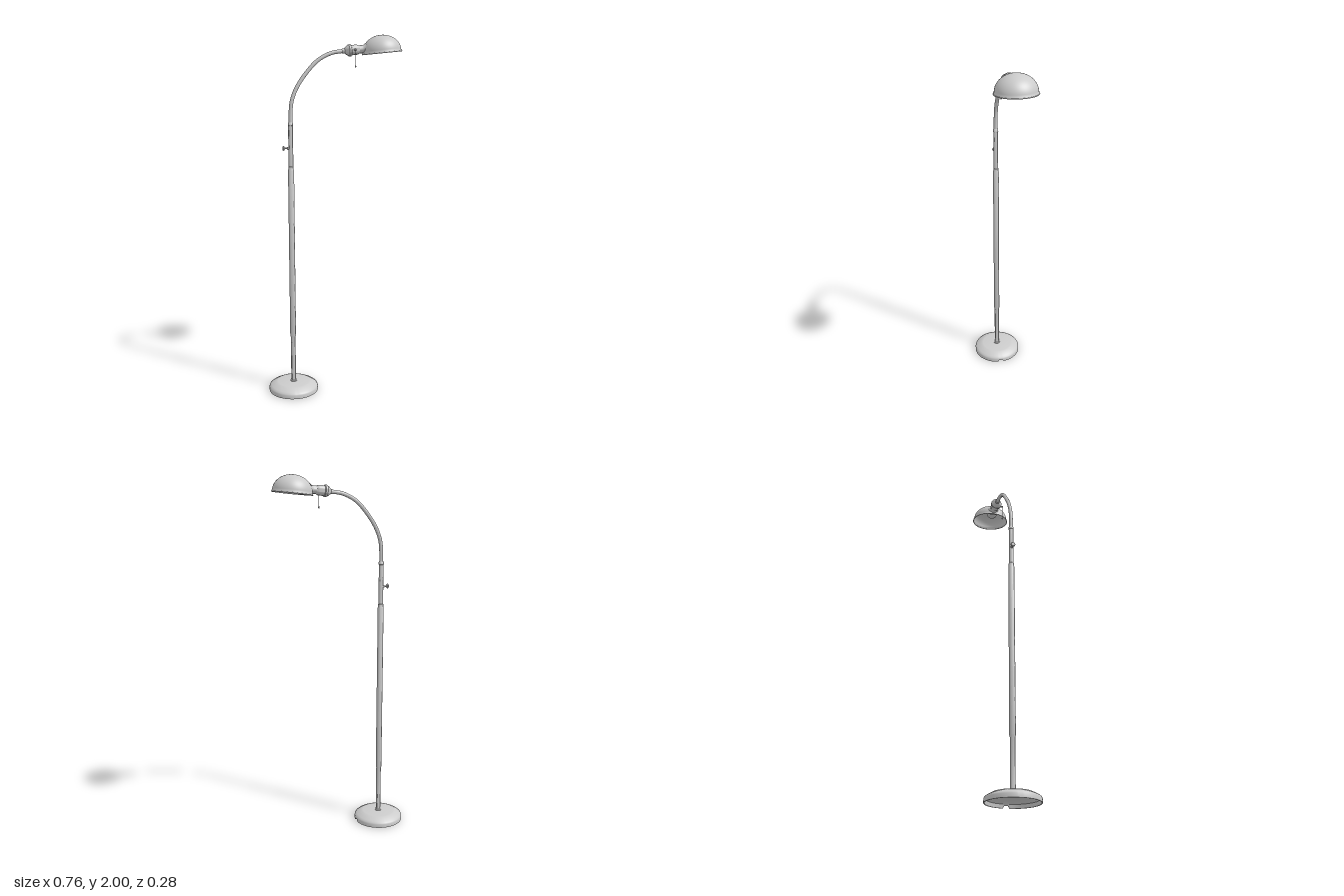
import * as THREE from 'three';
import { toCreasedNormals } from 'three/addons/utils/BufferGeometryUtils.js';

const mat = new THREE.MeshStandardMaterial({ color: 0xcccccc });
const thin = new THREE.MeshStandardMaterial({ color: 0xcccccc, side: THREE.DoubleSide });

function add(parent, name, geo, material = mat) {
  const mesh = new THREE.Mesh(geo, material);
  mesh.name = name;
  parent.add(mesh);
  return mesh;
}

// Turned part from [radius, height] pairs; sharp corners stay creased
function turned(pairs, segments = 40) {
  return new THREE.LatheGeometry(pairs.map(([r, h]) => new THREE.Vector2(r, h)), segments);
}
const crease = (geo) => toCreasedNormals(geo, 0.6);

export function createModel() {
  const lamp = new THREE.Group();
  lamp.name = 'floorLamp';

  // Everything upright shares the pole axis
  const stand = new THREE.Group();
  stand.name = 'stand';
  stand.position.x = -0.24;
  lamp.add(stand);

  // Hollow weighted base with a cord notch in the rim
  const base = turned([
    [0, 0.042], [0.085, 0.042], [0.115, 0.032], [0.132, 0.02], [0.135, 0],
    [0.14, 0], [0.14, 0.02], [0.137, 0.027], [0.128, 0.034], [0.113, 0.042],
    [0.099, 0.049], [0.09, 0.051], [0, 0.051],
  ], 96);
  const p = base.attributes.position;
  for (let i = 0; i < p.count; i++) {
    if (p.getX(i) > 0 && Math.abs(p.getZ(i)) < 0.015 && p.getY(i) < 0.001) p.setY(i, 0.013);
  }
  add(stand, 'base', crease(base));
  add(stand, 'baseNut', new THREE.CylinderGeometry(0.014, 0.014, 0.012, 6)).position.y = 0.037;

  // Pole: lower rod, sleeve, upper rod and top collar
  add(stand, 'pole', crease(turned([
    [0.019, 0.05], [0.019, 0.055], [0.0135, 0.058], [0.0135, 0.32], [0.0165, 0.33],
    [0.0165, 1.28], [0.0145, 1.285], [0.0145, 1.3], [0.013, 1.302], [0.013, 1.52],
    [0.0145, 1.522], [0.0145, 1.533], [0.011, 1.54], [0, 1.54],
  ], 32)));

  // Height clamp screw
  const screw = new THREE.Group();
  screw.name = 'clampScrew';
  screw.position.y = 1.4;
  screw.rotation.z = Math.PI / 2;
  stand.add(screw);
  add(screw, 'screwThumb', crease(turned([
    [0.008, 0.01], [0.008, 0.018], [0.0045, 0.02], [0.0045, 0.033],
    [0.011, 0.035], [0.013, 0.038], [0.013, 0.041], [0.01, 0.044], [0, 0.044],
  ], 24)));

  // Curved arm
  const path = new THREE.CatmullRomCurve3([
    [-0.24, 1.52, 0], [-0.239, 1.58, 0], [-0.232, 1.65, -0.001], [-0.205, 1.72, -0.004],
    [-0.15, 1.8, -0.008], [-0.083, 1.868, -0.01], [-0.01, 1.904, -0.01], [0.07, 1.916, -0.01],
  ].map((c) => new THREE.Vector3(...c)));
  add(lamp, 'arm', new THREE.TubeGeometry(path, 72, 0.0105, 20));

  // Head: local x runs along the socket, tipped slightly upward
  const head = new THREE.Group();
  head.name = 'head';
  head.position.set(0.05, 1.914, -0.01);
  head.rotation.z = 0.1;
  lamp.add(head);

  const socket = add(head, 'socket', crease(turned([
    [0, -0.003], [0.013, -0.003], [0.013, 0.009], [0.017, 0.012], [0.025, 0.022],
    [0.029, 0.03], [0.032, 0.032], [0.032, 0.043], [0.027, 0.046], [0.027, 0.076],
    [0.025, 0.083], [0.0215, 0.088], [0.0215, 0.115], [0, 0.115],
  ])));
  socket.rotation.z = -Math.PI / 2;

  // Flared neck that joins the socket to the shade
  const neck = add(head, 'shadeNeck', turned([
    [0.023, 0.09], [0.023, 0.106], [0.026, 0.113], [0.033, 0.122], [0.04, 0.127],
  ]), thin);
  neck.rotation.z = -Math.PI / 2;
  neck.scale.x = 0.75;

  // Domed shade with a rolled rim
  const shade = new THREE.Group();
  shade.name = 'shade';
  shade.position.set(0.216, -0.03, 0.001);
  head.add(shade);
  const profile = [[0.108, 0], [0.108, 0.006], [0.105, 0.008]];
  for (let i = 1; i <= 16; i++) {
    const a = (i / 16) * Math.PI / 2;
    profile.push([0.105 * Math.cos(a), 0.008 + 0.087 * Math.sin(a)]);
  }
  add(shade, 'shadeDome', turned(profile, 64), thin);
  add(shade, 'shadeRim', new THREE.TorusGeometry(0.108, 0.0022, 8, 64)).rotation.x = Math.PI / 2;

  // Bulb
  const bulb = add(head, 'bulb', turned([
    [0.014, 0.11], [0.015, 0.125], [0.02, 0.135], [0.028, 0.146], [0.032, 0.16],
    [0.031, 0.173], [0.025, 0.185], [0.014, 0.193], [0, 0.196],
  ], 32));
  bulb.rotation.z = -Math.PI / 2;

  // Pull switch: side stub, hanging chain and end bead
  const pull = new THREE.Group();
  pull.name = 'pullSwitch';
  pull.position.set(0.11, 1.92, 0);
  lamp.add(pull);
  const stub = add(pull, 'switchStub', new THREE.CylinderGeometry(0.004, 0.006, 0.024, 16));
  stub.rotation.x = Math.PI / 2;
  stub.position.z = 0.022;
  add(pull, 'switchTip', new THREE.SphereGeometry(0.005, 16, 10)).position.z = 0.034;
  const chain = add(pull, 'chain', new THREE.CylinderGeometry(0.0016, 0.0016, 0.085, 8));
  chain.position.set(0, -0.043, 0.034);
  const bead = add(pull, 'chainBead', new THREE.SphereGeometry(0.004, 12, 10));
  bead.scale.y = 1.6;
  bead.position.set(0, -0.087, 0.034);

  return lamp;
}
